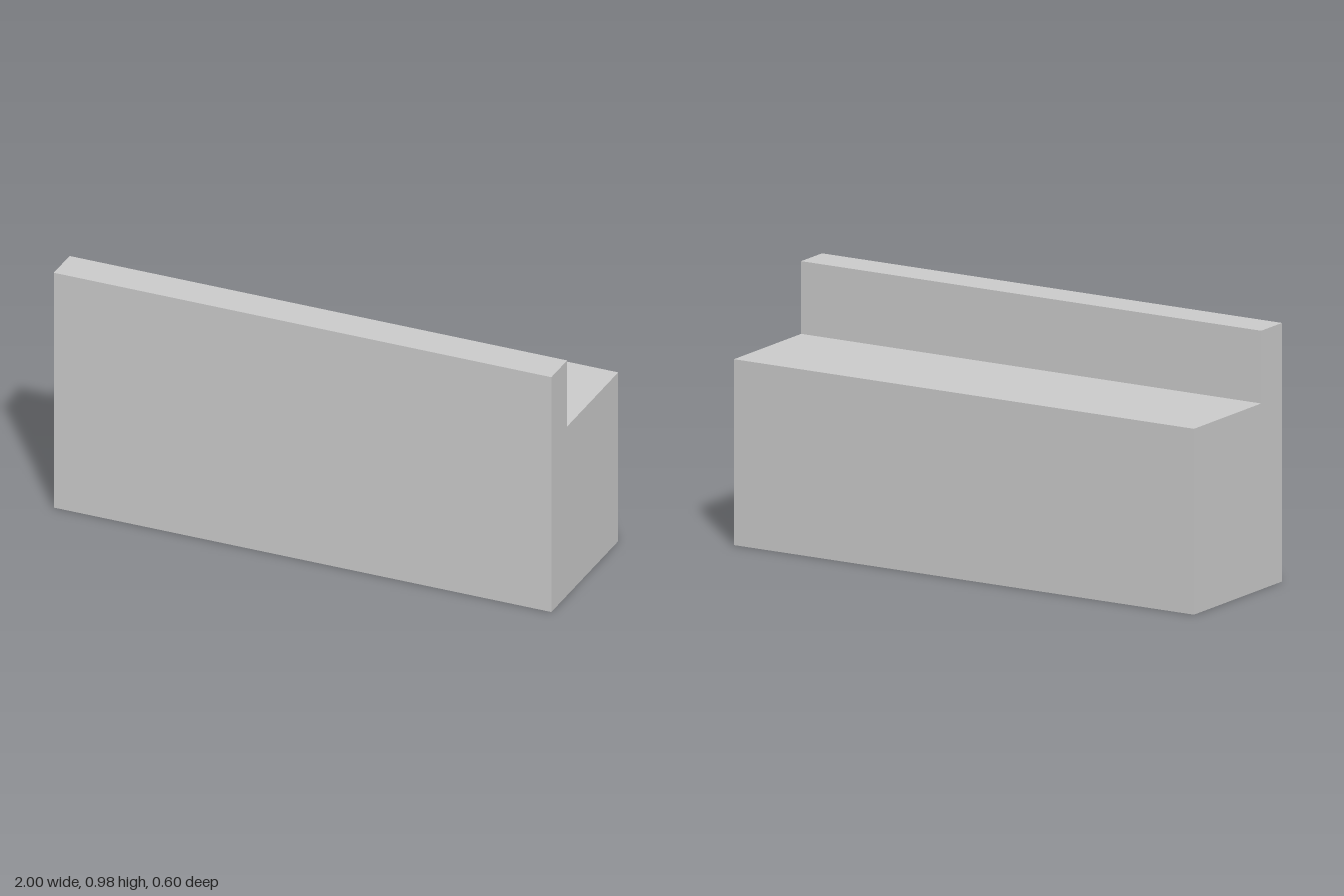
import * as THREE from 'three';

export function createModel() {
  const group = new THREE.Group();
  group.name = 'steppedBlock';

  const length = 2, halfDepth = 0.302;
  const ledgeY = 0.703, topY = 0.978, lipZ = 0.159;

  // L-shaped side profile, drawn with x = -z
  const profile = new THREE.Shape([
    [-halfDepth, 0], [halfDepth, 0], [halfDepth, ledgeY],
    [-lipZ, ledgeY], [-lipZ, topY], [-halfDepth, topY],
  ].map(([x, y]) => new THREE.Vector2(x, y)));

  // Extrude along the length, then turn it to run along x
  const geometry = new THREE.ExtrudeGeometry(profile, { depth: length, bevelEnabled: false });
  geometry.translate(0, 0, -length / 2);
  geometry.rotateY(Math.PI / 2);

  const body = new THREE.Mesh(geometry, new THREE.MeshStandardMaterial({ color: 0xcccccc }));
  body.name = 'counterWithFrontLip';
  group.add(body);
  return group;
}
